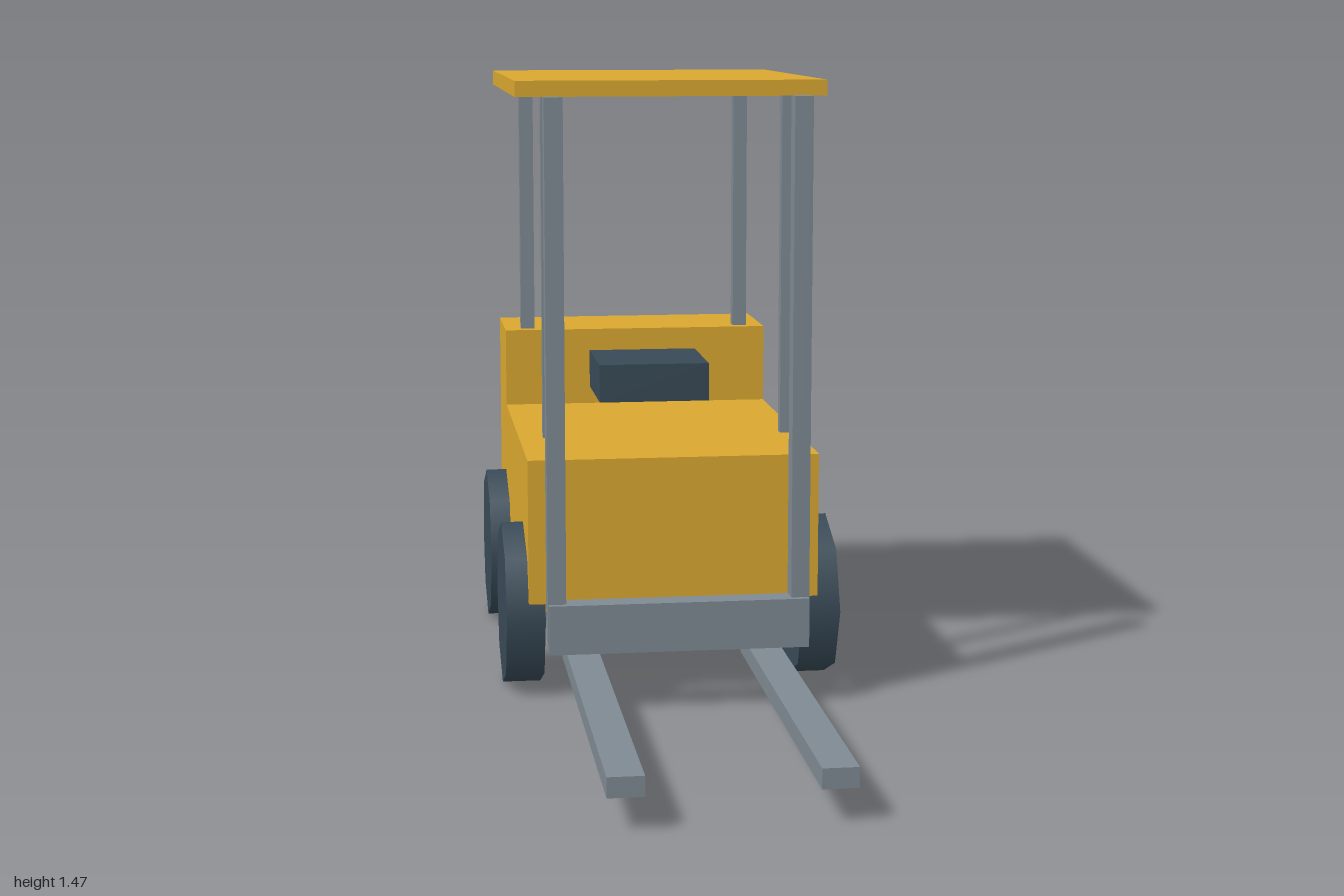
import * as THREE from 'three';

const paint = new THREE.MeshStandardMaterial({ color: 0xdaa830 });
const steel = new THREE.MeshStandardMaterial({ color: 0x7f8a93 });
const dark = new THREE.MeshStandardMaterial({ color: 0x384a57 });

export function createModel() {
  const model = new THREE.Group();
  model.name = 'forklift';

  const add = (name, geometry, material) => {
    const mesh = new THREE.Mesh(geometry, material);
    mesh.name = name;
    model.add(mesh);
    return mesh;
  };

  // Box given by its lower and upper limits on each axis
  const box = (name, material, [x0, x1], [y0, y1], [z0, z1]) => {
    const mesh = add(name, new THREE.BoxGeometry(x1 - x0, y1 - y0, z1 - z0), material);
    mesh.position.set((x0 + x1) / 2, (y0 + y1) / 2, (z0 + z1) / 2);
  };

  // Body: stepped side profile (z, y) with the counterweight at the back
  const profile = new THREE.Shape([
    [-1, 0.22], [0.07, 0.22], [0.07, 0.585], [-0.733, 0.585], [-0.733, 0.785], [-1, 0.785],
  ].map(([z, y]) => new THREE.Vector2(-z, y)));
  const body = new THREE.ExtrudeGeometry(profile, { depth: 0.694, bevelEnabled: false });
  body.translate(0, 0, -0.347).rotateY(Math.PI / 2);
  add('body', body, paint);

  // Seat and overhead guard
  box('seat', dark, [-0.138, 0.138], [0.655, 0.75], [-0.58, -0.315]);
  box('roof', paint, [-0.366, 0.366], [1.43, 1.467], [-0.865, 0.033]);

  // Lift carriage across the mast
  box('carriage', steel, [-0.307, 0.307], [0.143, 0.26], [0.12, 0.179]);

  for (const [side, s] of [['left', 1], ['right', -1]]) {
    const span = (a, b) => (s > 0 ? [a, b] : [-b, -a]);
    box(`${side}MastRail`, steel, span(0.266, 0.309), [0.166, 1.434], [0.113, 0.164]);
    box(`${side}Fork`, steel, span(0.18, 0.258), [0.073, 0.117], [-0.05, 1]);
    box(`${side}FrontPost`, steel, span(0.27, 0.302), [0.62, 1.435], [-0.06, -0.03]);
    box(`${side}RearPost`, steel, span(0.268, 0.304), [0.62, 1.435], [-0.8, -0.764]);

    // Eight-sided wheels standing on a corner
    for (const [end, z] of [['Front', -0.114], ['Rear', -0.783]]) {
      const wheel = new THREE.CylinderGeometry(0.2, 0.2, 0.092, 8).rotateZ(Math.PI / 2);
      add(`${side}${end}Wheel`, wheel, dark).position.set(s * 0.354, 0.2, z);
    }
  }
  return model;
}
